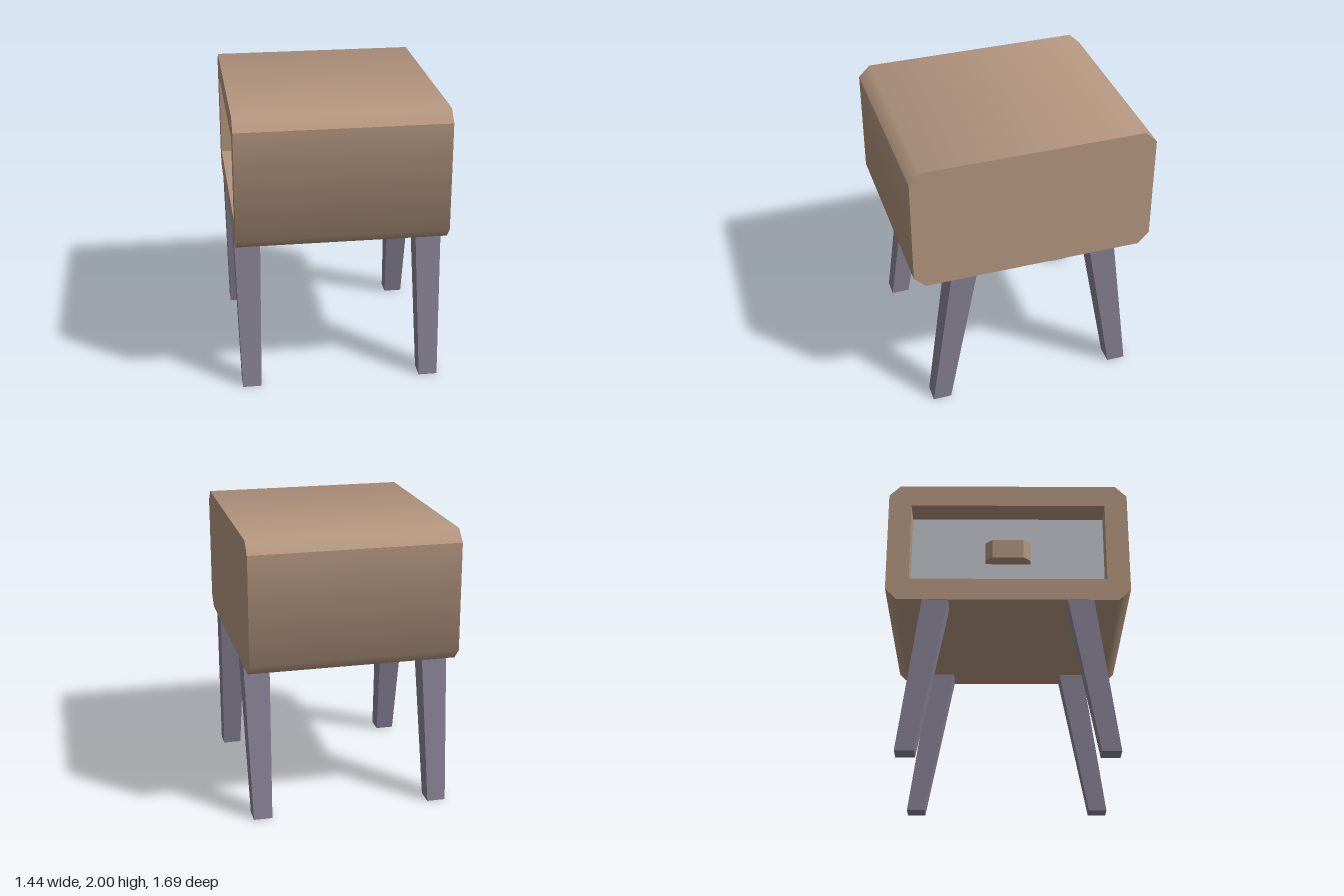
import * as THREE from 'three';

const W = 0.72, D = 0.845, BOTTOM = 1.09, TOP = 2, BEVEL = 0.08;
const RECESS = 0.187;

const wood = new THREE.MeshStandardMaterial({ name: 'warm wood', color: 0xb4967f });
const legPaint = new THREE.MeshStandardMaterial({ name: 'grey violet legs', color: 0x878193 });
const panelGrey = new THREE.MeshStandardMaterial({ name: 'drawer grey', color: 0xbfc4c9 });

function mesh(name, geometry, material) {
  const m = new THREE.Mesh(geometry, material);
  m.name = name;
  return m;
}

// Sweeps a [z, y] profile along x; smooth blends the normals of neighbouring faces equally
function strip(profile, x0, x1, smooth) {
  const normals = profile.slice(1).map(([z, y], i) =>
    new THREE.Vector3(0, -(z - profile[i][0]), y - profile[i][1]).normalize());
  const blend = (i, j) => (smooth && normals[j] ? normals[i].clone().add(normals[j]).normalize() : normals[i]);
  const pos = [], nor = [], idx = [];
  normals.forEach((_, i) => {
    const [pz, py] = profile[i], [qz, qy] = profile[i + 1];
    const np = blend(i, i - 1).toArray(), nq = blend(i, i + 1).toArray();
    const k = i * 4;
    pos.push(x0, py, pz, x1, py, pz, x1, qy, qz, x0, qy, qz);
    nor.push(...np, ...np, ...nq, ...nq);
    idx.push(k, k + 1, k + 2, k, k + 2, k + 3);
  });
  const g = new THREE.BufferGeometry();
  g.setAttribute('position', new THREE.Float32BufferAttribute(pos, 3));
  g.setAttribute('normal', new THREE.Float32BufferAttribute(nor, 3));
  g.setIndex(idx);
  return g;
}

const toVectors = (points) => points.map(([u, v]) => new THREE.Vector2(u, v));

// Tapered square leg splayed along z
function legGeometry(sx, sz) {
  const g = new THREE.BoxGeometry(1, 1, 1).toNonIndexed();
  const p = g.attributes.position;
  for (let i = 0; i < p.count; i++) {
    const top = p.getY(i) > 0;
    const width = top ? 0.18 : 0.13;
    p.setXYZ(i,
      sx * 0.629 + p.getX(i) * width,
      top ? BOTTOM : 0,
      sz * (top ? 0.5 : 0.675) + p.getZ(i) * width);
  }
  g.computeVertexNormals();
  return g;
}

export function createModel() {
  const model = new THREE.Group();
  model.name = 'bedsideTable';

  // Cabinet shell: bevelled lid, then front, base and back
  const lid = [[D, TOP - BEVEL], [D - BEVEL, TOP], [-D + BEVEL, TOP], [-D, TOP - BEVEL]];
  const lower = [[-D, TOP - BEVEL], [-D, BOTTOM + BEVEL], [-D + BEVEL, BOTTOM],
    [D - BEVEL, BOTTOM], [D, BOTTOM + BEVEL], [D, TOP - BEVEL]];
  model.add(mesh('cabinetTop', strip(lid, -W, W, true), wood));
  model.add(mesh('cabinetShell', strip(lower, -W, W, true), wood));

  // Plain end, and the open end with the drawer recess
  const outline = toVectors([...lid, ...lower.slice(1, -1)]);
  const plainEnd = new THREE.ShapeGeometry(new THREE.Shape(outline)).rotateY(Math.PI / 2);
  model.add(mesh('plainEnd', plainEnd.translate(W, 0, 0), wood));

  const opening = [[-0.685, 1.25], [-0.685, 1.84], [0.685, 1.84], [0.685, 1.25]];
  const frame = new THREE.Shape(outline);
  frame.holes.push(new THREE.Path(toVectors(opening)));
  const openEnd = new THREE.ShapeGeometry(frame).rotateY(-Math.PI / 2);
  model.add(mesh('openEnd', openEnd.translate(-W, 0, 0), wood));
  model.add(mesh('recessWalls', strip([...opening, opening[0]], -W, -W + RECESS, false), wood));

  // Drawer front
  const panel = new THREE.PlaneGeometry(1.37, 0.59).rotateY(-Math.PI / 2);
  model.add(mesh('drawerFront', panel.translate(-W + RECESS, 1.545, 0), panelGrey));

  // Handle with bevelled corners
  const plan = new THREE.Shape(toVectors(
    [[-0.16, 0], [0.16, 0], [0.16, 0.05], [0.11, 0.1], [-0.11, 0.1], [-0.16, 0.05]]));
  const handle = new THREE.ExtrudeGeometry(plan, { depth: 0.14, bevelEnabled: false });
  handle.rotateX(-Math.PI / 2).rotateY(Math.PI / 2).translate(-W + RECESS, 1.47, 0);
  model.add(mesh('drawerHandle', handle, wood));

  // Legs
  for (const sx of [-1, 1]) {
    for (const sz of [-1, 1]) {
      const name = (sz > 0 ? 'front' : 'back') + (sx > 0 ? 'Left' : 'Right') + 'Leg';
      model.add(mesh(name, legGeometry(sx, sz), legPaint));
    }
  }
  return model;
}
